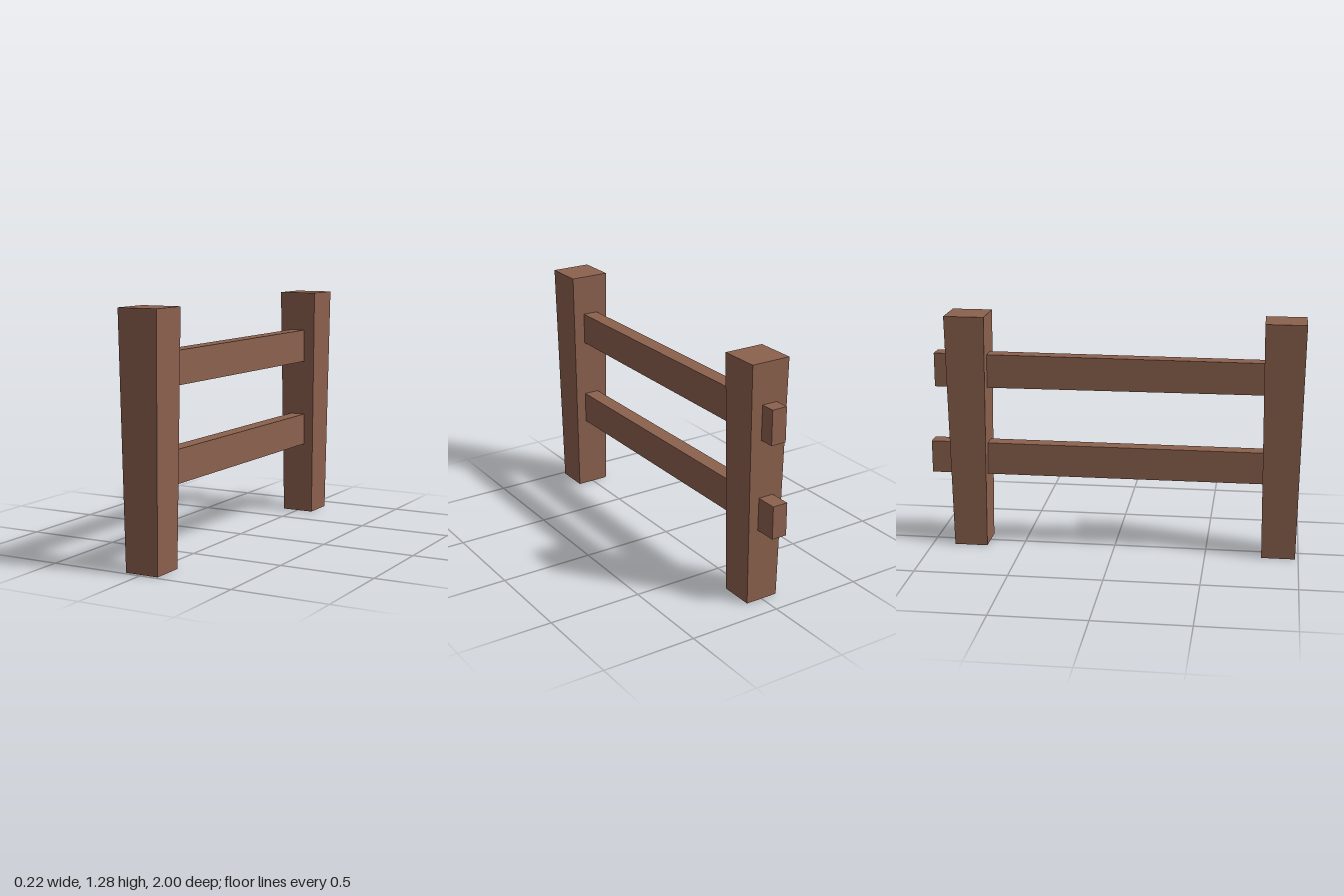
import * as THREE from 'three';

export function createModel() {
  const fence = new THREE.Group();
  fence.name = 'fence';
  const wood = new THREE.MeshStandardMaterial({ color: 0x8c614e });
  wood.name = 'brown wood';

  const height = 1.28;

  // Square post, slightly wider at the top
  function addPost(name, z) {
    const geo = new THREE.BoxGeometry(1, height, 1);
    geo.translate(0, height / 2, 0);
    const p = geo.attributes.position;
    for (let i = 0; i < p.count; i++) {
      const width = p.getY(i) > height / 2 ? 0.215 : 0.18;
      p.setX(i, p.getX(i) * width);
      p.setZ(i, p.getZ(i) * width);
    }
    geo.computeVertexNormals();
    const post = new THREE.Mesh(geo, wood);
    post.name = name;
    post.position.z = z;
    fence.add(post);
  }

  // Rail set into the front post and passing through the back post
  function addRail(name, y, frontHeight, backHeight, backEnd) {
    const frontEnd = 0.84;
    const geo = new THREE.BoxGeometry(0.084, 1, frontEnd - backEnd);
    const p = geo.attributes.position;
    for (let i = 0; i < p.count; i++) {
      p.setY(i, p.getY(i) * (p.getZ(i) > 0 ? frontHeight : backHeight));
    }
    geo.computeVertexNormals();
    const rail = new THREE.Mesh(geo, wood);
    rail.name = name;
    rail.position.set(-0.001, y, (frontEnd + backEnd) / 2);
    fence.add(rail);
  }

  addPost('frontPost', 0.893);
  addPost('backPost', -0.787);
  addRail('upperRail', 0.975, 0.171, 0.183, -0.97);
  addRail('lowerRail', 0.488, 0.173, 0.176, -1.0);

  return fence;
}
